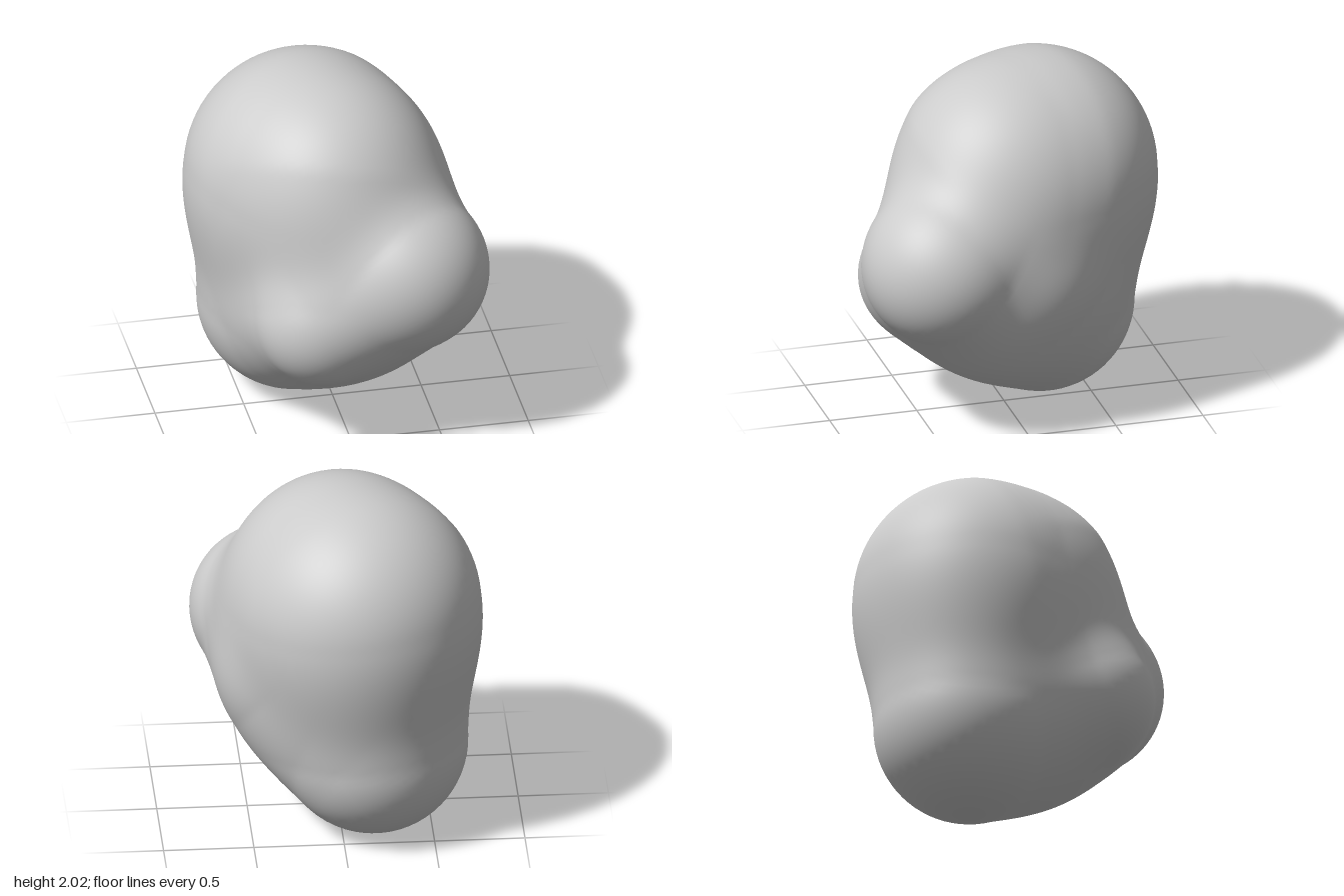
import * as THREE from 'three';
import { mergeVertices } from 'three/addons/utils/BufferGeometryUtils.js';

// Lobes of the blob: centre and radius
const lobe = (x, y, z, r) => ({ c: new THREE.Vector3(x, y, z), r });
const topBack = lobe(-0.15, 1.32, -0.23, 0.595);
const topFront = lobe(-0.06, 1.37, 0.0, 0.53);
const frontLeft = lobe(0.29, 0.99, 0.42, 0.375);
const frontRight = lobe(-0.2, 0.72, 0.4, 0.28);
const bottom = lobe(-0.22, 0.5, -0.27, 0.43);
const core = lobe(0.18, 0.88, -0.08, 0.42);

// Tapered bridges between lobes, each with a swelling at its middle
const BRIDGES = [
  [topBack, topFront, 0],
  [topBack, bottom, 0.08],
  [topBack, frontLeft, 0.08],
  [topFront, frontRight, 0],
  [bottom, frontLeft, 0.14],
  [bottom, frontRight, 0.05],
  [frontRight, frontLeft, 0.03],
  [core, bottom, 0.03],
];
const BLEND = 0.07;

// Smooth union of the bridges: negative inside, positive outside
const along = new THREE.Vector3();
const offset = new THREE.Vector3();
function distance(p) {
  let sum = 0;
  for (const [a, b, swell] of BRIDGES) {
    along.subVectors(b.c, a.c);
    offset.subVectors(p, a.c);
    const t = THREE.MathUtils.clamp(offset.dot(along) / along.lengthSq(), 0, 1);
    const radius = a.r + (b.r - a.r) * t + swell * 4 * t * (1 - t);
    const d = offset.addScaledVector(along, -t).length() - radius;
    sum += Math.exp(-d / BLEND);
  }
  return -BLEND * Math.log(sum);
}

export function createModel() {
  const group = new THREE.Group();

  // Sphere whose vertices are pushed along rays onto the blended surface
  const sphere = new THREE.IcosahedronGeometry(1, 24);
  sphere.deleteAttribute('normal');
  sphere.deleteAttribute('uv');
  const geometry = mergeVertices(sphere, 1e-4);
  const pos = geometry.attributes.position;
  const origin = new THREE.Vector3(0, 0.95, 0);
  const dir = new THREE.Vector3();
  const p = new THREE.Vector3();
  for (let i = 0; i < pos.count; i++) {
    dir.fromBufferAttribute(pos, i).normalize();
    let near = 0, far = 2;
    for (let step = 0; step < 30; step++) {
      const mid = (near + far) / 2;
      p.copy(origin).addScaledVector(dir, mid);
      if (distance(p) < 0) near = mid; else far = mid;
    }
    pos.setXYZ(i, p.x, p.y, p.z);
  }

  // Centre the blob and stand it on the ground
  geometry.center();
  geometry.translate(0, geometry.boundingBox.max.y, 0);
  geometry.computeVertexNormals();

  const blob = new THREE.Mesh(geometry, new THREE.MeshStandardMaterial({ color: 0xcccccc }));
  blob.name = 'blob';
  group.add(blob);
  return group;
}
